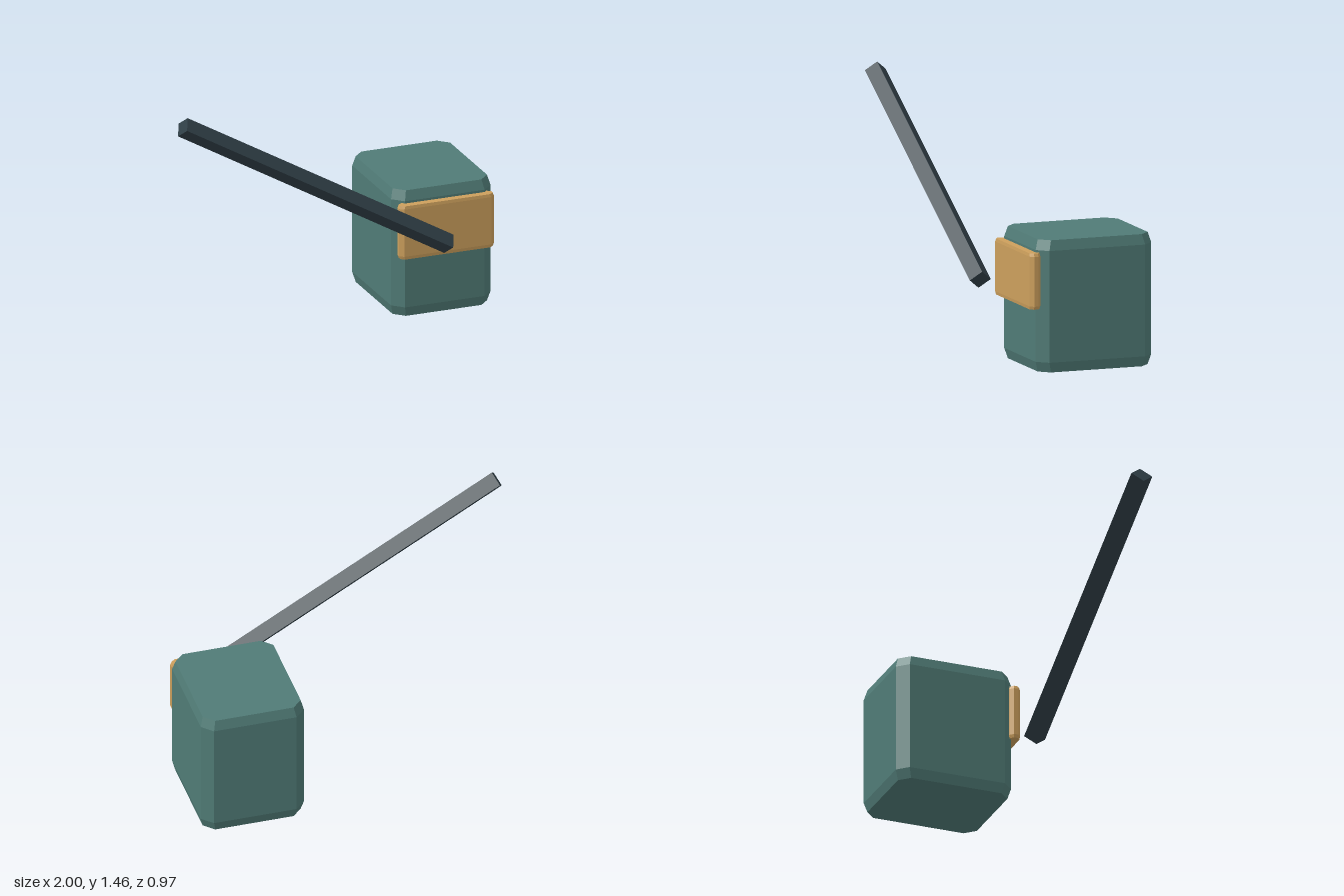
import * as THREE from 'three';
import { ConvexGeometry } from 'three/addons/geometries/ConvexGeometry.js';

const material = (name, color) => {
  const m = new THREE.MeshStandardMaterial({ color, flatShading: true });
  m.name = name;
  return m;
};

// Block with cut vertical corners [cx, cz] and top and bottom rims drawn in by scale over height rim.
function bevelledBlock([w, h, d], [cx, cz], rim, [sx, sz]) {
  const points = [];
  for (const [y, kx, kz] of [[h / 2, sx, sz], [h / 2 - rim, 1, 1]])
    for (const a of [-1, 1]) for (const b of [-1, 1]) for (const c of [-1, 1]) {
      points.push(new THREE.Vector3(a * (w / 2 - cx) * kx, b * y, c * (d / 2) * kz));
      points.push(new THREE.Vector3(a * (w / 2) * kx, b * y, c * (d / 2 - cz) * kz));
    }
  return new ConvexGeometry(points);
}

export function createModel() {
  const model = new THREE.Group();
  const add = (name, geometry, mat, x, y, z) => {
    const mesh = new THREE.Mesh(geometry, mat);
    mesh.name = name;
    mesh.position.set(x, y, z);
    model.add(mesh);
    return mesh;
  };

  // Main block
  add('body', bevelledBlock([0.6, 0.75, 0.694], [0.06, 0.06], 0.058, [0.95, 0.95]),
    material('green', 0x507b76), 0.698, 0.375, -0.138);

  // Plate on the front face
  add('frontPlate', bevelledBlock([0.572, 0.318, 0.065], [0.024, 0.02], 0.018, [0.975, 0.92]),
    material('gold', 0xcc9f5c), 0.698, 0.52, 0.222);

  // Slanted square bar standing on its edge
  const bar = add('bar', new THREE.CylinderGeometry(1, 1, 1.854, 4), material('darkSlate', 0x2f3e46),
    -0.167, 0.951, 0.422);
  bar.scale.set(0.058, 1, 0.063);
  bar.rotation.z = -Math.PI * 2 / 3;

  return model;
}
